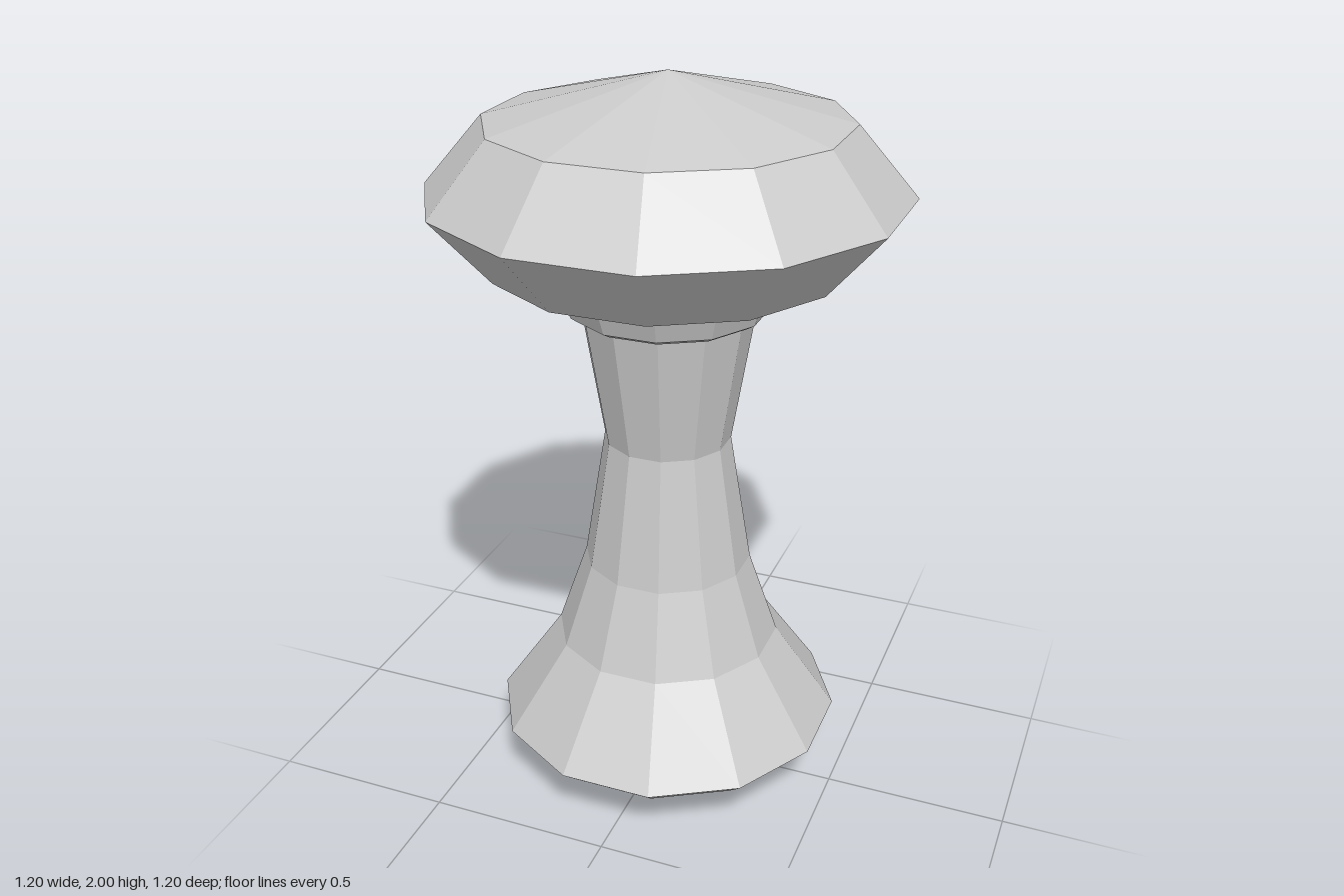
import * as THREE from 'three';

const SIDES = 12;
const STEP = Math.PI / SIDES; // half of one facet

export function createModel() {
  const group = new THREE.Group();
  const material = new THREE.MeshStandardMaterial({ color: 0xcccccc, flatShading: true });

  // Turned twelve-sided part; profile is [distance to flat, height], bottom to top
  function turned(name, profile) {
    const points = profile.map(([r, y]) => new THREE.Vector2(r / Math.cos(STEP), y));
    const mesh = new THREE.Mesh(new THREE.LatheGeometry(points, SIDES, STEP), material);
    mesh.name = name;
    group.add(mesh);
  }

  // Pointed foot
  turned('foot', [[0, 0], [0.405, 0.125], [0.465, 0.18]]);

  // Waisted stem, flaring to the foot
  turned('stem', [[0.465, 0.18], [0.3, 0.425], [0.222, 0.66], [0.165, 1.025], [0.222, 1.387]]);

  // Bevelled collar under the head
  turned('collar', [[0.222, 1.387], [0.237, 1.387], [0.258, 1.4], [0.285, 1.478]]);

  // Faceted head with a shallow pointed top
  turned('head', [[0.285, 1.478], [0.45, 1.523], [0.6, 1.7], [0.45, 1.88], [0, 2]]);

  return group;
}
